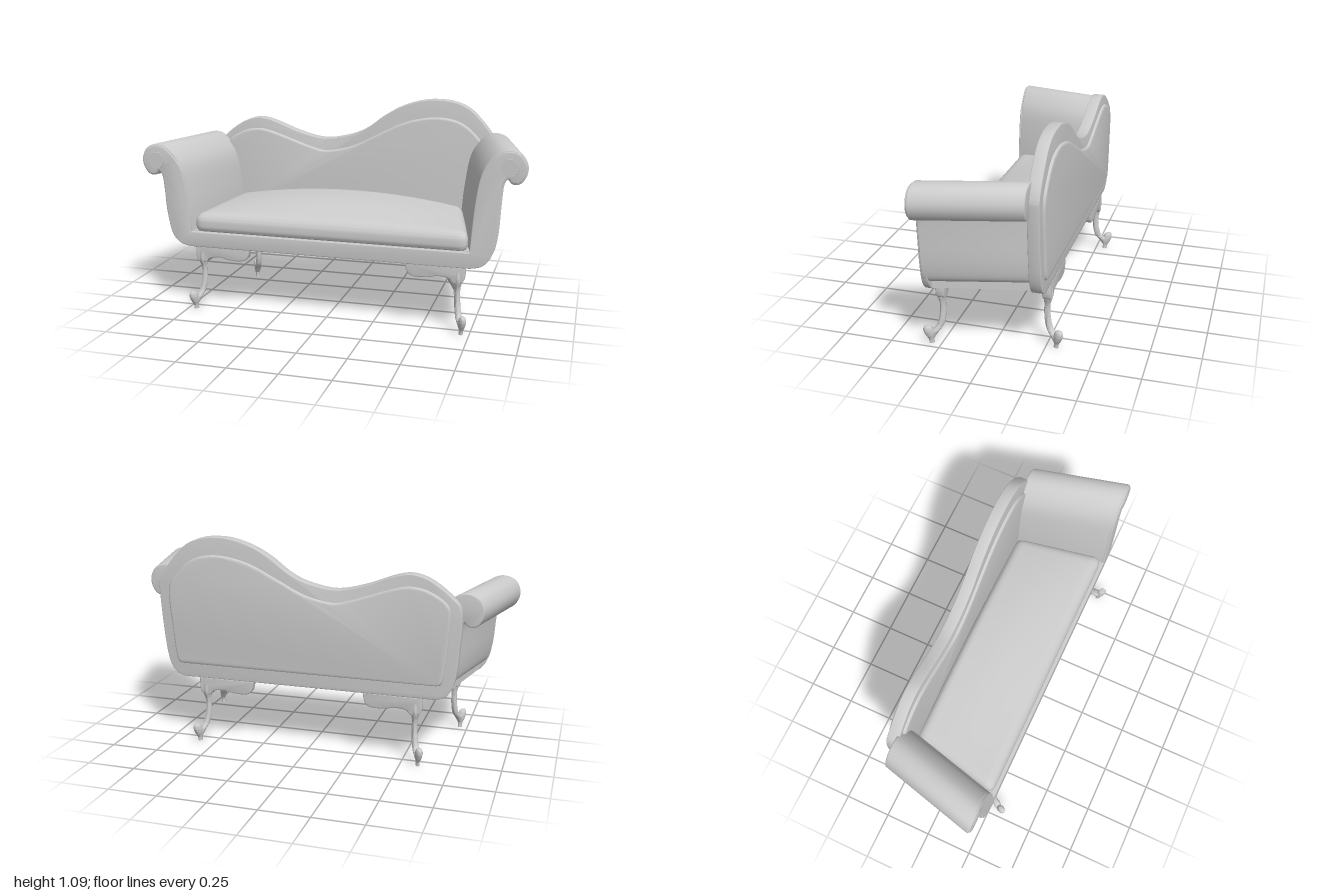
import * as THREE from 'three';
import { toCreasedNormals } from 'three/addons/utils/BufferGeometryUtils.js';

const material = new THREE.MeshStandardMaterial({ color: 0xcccccc, side: THREE.DoubleSide });

function addMesh(parent, name, geometry, crease = 0.65) {
  const mesh = new THREE.Mesh(toCreasedNormals(geometry, crease), material);
  mesh.name = name;
  parent.add(mesh);
  return mesh;
}

// Smooth open curve through [x, y] points
const smooth = (points, n) =>
  new THREE.SplineCurve(points.map(([x, y]) => new THREE.Vector2(x, y))).getPoints(n);

// Slab between two z planes, with bevels that stay inside the outline
function slab(points, z0, z1, bevel = 0) {
  const geometry = new THREE.ExtrudeGeometry(new THREE.Shape(points), {
    depth: z1 - z0 - 2 * bevel, bevelEnabled: bevel > 0, bevelThickness: bevel,
    bevelSize: bevel, bevelOffset: -bevel, bevelSegments: 3,
  });
  return geometry.translate(0, 0, z0 + bevel);
}

function moveVertices(geometry, rule) {
  const p = geometry.attributes.position;
  const v = new THREE.Vector3();
  for (let i = 0; i < p.count; i++) {
    v.fromBufferAttribute(p, i);
    rule(v);
    p.setXYZ(i, v.x, v.y, v.z);
  }
  return geometry;
}

// The seat narrows towards the back
const FRONT = 0.275;
const taper = (z) => 1 - 0.27 * (FRONT - z);

// Scrolled arm outline on the +x side; rise lifts the scroll, inset shrinks it
function armCurve(rise, start, end, inset = 0) {
  const k = 1 - inset / 0.085;
  const scroll = [[0.905, 0.732], [0.922, 0.715], [0.945, 0.708], [0.975, 0.722], [0.998, 0.765],
    [0.998, 0.81], [0.972, 0.855], [0.92, 0.875], [0.865, 0.863], [0.81, 0.81]]
    .map(([x, y]) => [0.915 + (x - 0.915) * k, 0.79 + rise + (y - 0.79) * k]);
  return smooth([...start, [0.873 - inset, 0.52], [0.882 - inset, 0.63 + rise * 0.6],
    [0.89 - inset, 0.7 + rise], ...scroll, [0.775, 0.74 + rise * 0.8],
    [0.752, 0.61 + rise * 0.4], [0.741, 0.5], end], 72);
}

const mirror = (points) => points.map((p) => new THREE.Vector2(-p.x, p.y));

function addArms(sofa) {
  for (const [side, rise, name] of [[1, 0.055, 'leftArm'], [-1, 0, 'rightArm']]) {
    const arm = new THREE.Group();
    arm.name = name;
    sofa.add(arm);
    let outline = armCurve(rise, [[0.83, 0.403], [0.855, 0.43]], [0.737, 0.403]);
    if (side < 0) outline = mirror(outline);
    const body = moveVertices(slab(outline, -0.225, FRONT, 0.006), (v) => {
      v.x -= side * 0.25 * (FRONT - v.z);
    });
    addMesh(arm, 'armRoll', body);
    // Round boss at the heart of the scroll
    const boss = new THREE.CylinderGeometry(0.042, 0.045, 0.02, 28);
    boss.rotateX(Math.PI / 2).translate(side * 0.915, 0.79 + rise, 0.276);
    addMesh(arm, 'scrollBoss', boss);
  }
}

// Front rail sweeping up into both arm fronts
function addFrontFrame(sofa) {
  const start = [[0.74, 0.335], [0.80, 0.352], [0.845, 0.41]];
  const end = [0.735, 0.415];
  const left = armCurve(0.055, start, end, 0.008);
  const right = mirror(armCurve(0, start, end, 0.008)).reverse();
  addMesh(sofa, 'frontFrame', slab([...left, ...right], 0.25, 0.283, 0.004));
}

function addBack(sofa) {
  const back = new THREE.Group();
  back.name = 'backrest';
  sofa.add(back);
  const outline = smooth([[0.68, 0.342], [0.735, 0.37], [0.77, 0.45], [0.79, 0.6], [0.805, 0.8],
    [0.80, 0.86], [0.76, 0.93], [0.66, 1.04], [0.57, 1.083], [0.47, 1.093], [0.38, 1.083],
    [0.28, 1.05], [0.19, 1.0], [0.1, 0.933], [0, 0.887], [-0.15, 0.862], [-0.3, 0.895],
    [-0.44, 0.947], [-0.53, 0.963], [-0.62, 0.937], [-0.72, 0.865], [-0.775, 0.79],
    [-0.77, 0.6], [-0.755, 0.45], [-0.72, 0.37], [-0.665, 0.342]], 120);
  addMesh(back, 'backFrame', slab(outline, -0.272, -0.213, 0.004));

  // Padded panel standing proud of the frame on both faces
  const panel = smooth([[0.68, 0.415], [0.715, 0.44], [0.735, 0.6], [0.75, 0.81], [0.7, 0.9],
    [0.62, 0.97], [0.53, 0.998], [0.43, 0.998], [0.3, 0.967], [0.16, 0.9], [0.03, 0.835],
    [-0.08, 0.804], [-0.18, 0.802], [-0.38, 0.868], [-0.47, 0.896], [-0.54, 0.903],
    [-0.62, 0.885], [-0.7, 0.835], [-0.725, 0.77], [-0.715, 0.6], [-0.695, 0.44],
    [-0.665, 0.415]], 110);
  addMesh(back, 'backPadding', slab(panel, -0.285, -0.199, 0.012));
}

function addSeat(sofa) {
  // Cushion: rounded block with a crown that rises towards the back
  const w = 0.73, h = 0.055, d = 0.24, r = 0.045;
  const cushion = moveVertices(new THREE.BoxGeometry(2 * w, 2 * h, 2 * d, 60, 12, 24), (v) => {
    const core = new THREE.Vector3(
      THREE.MathUtils.clamp(v.x, r - w, w - r),
      THREE.MathUtils.clamp(v.y, r - h, h - r),
      THREE.MathUtils.clamp(v.z, r - d, d - r));
    const out = v.clone().sub(core);
    if (out.lengthSq() > 0) v.copy(core).addScaledVector(out.normalize(), r);
    const u = v.x / w, t = (d - v.z) / (2 * d);
    const crown = Math.sin(Math.min(1, t * 1.4) * Math.PI / 2);
    if (v.y > 0) v.y += (v.y / h) * (0.02 * t + 0.062 * (1 - u * u) * crown);
    v.y += 0.455;
    v.z += 0.028;
    v.x *= taper(v.z);
  });
  addMesh(sofa, 'seatCushion', cushion, 1);

  // Base with a gently sagging underside
  const base = moveVertices(new THREE.BoxGeometry(1.62, 0.06, 0.475, 24, 1, 12), (v) => {
    const u = v.x / 0.81, t = v.z / 0.2375;
    if (v.y < 0) v.y -= 0.022 * (1 - u * u) * (1 - t * t);
    v.y += 0.388;
    v.z += 0.0185;
    v.x *= taper(v.z);
  });
  addMesh(sofa, 'seatBase', base);
}

// Vertical loft through [outward offset, height, radius] rings
function loft(rings, flat) {
  const curve = new THREE.CatmullRomCurve3(rings.map((q) => new THREE.Vector3(...q)));
  return moveVertices(new THREE.CylinderGeometry(1, 1, 1, 16, 28), (v) => {
    const q = curve.getPoint(0.5 - v.y);
    v.set(v.x * q.z * flat, q.y, v.z * q.z + q.x);
  });
}

function addLegs(sofa) {
  for (const front of [1, -1]) for (const side of [1, -1]) {
    const x = front > 0 ? 0.68 : 0.56;
    const leg = new THREE.Group();
    leg.name = `${front > 0 ? 'front' : 'back'}${side > 0 ? 'Left' : 'Right'}Leg`;
    sofa.add(leg);

    // Shaped bracket running inwards under the rail
    const edge = smooth([[-0.035, 0.345], [-0.035, 0.285], [-0.022, 0.255], [0.02, 0.25],
      [0.045, 0.273], [0.1, 0.28], [0.15, 0.27], [0.22, 0.269], [0.255, 0.29], [0.268, 0.345]], 40)
      .map((p) => new THREE.Vector2(side * (x - p.x), p.y));
    const z = front * 0.25;
    addMesh(leg, 'legBracket', slab(edge, z - 0.022, z + 0.022, 0.007));

    // Curved leg and scroll foot, turned diagonally outwards
    const limb = new THREE.Group();
    limb.name = 'limb';
    limb.position.set(side * x, 0, z);
    limb.rotation.y = Math.atan2(side * 0.5, front * 0.87);
    leg.add(limb);
    addMesh(limb, 'cabrioleLeg', loft([[0, 0.31, 0.024], [0.002, 0.26, 0.024], [-0.003, 0.22, 0.016],
      [-0.004, 0.18, 0.016], [0.002, 0.13, 0.017], [0.016, 0.09, 0.018], [0.04, 0.065, 0.021],
      [0.055, 0.03, 0.012]], 0.9), 1);
    addMesh(limb, 'scrollFoot', loft([[0.078, 0.1, 0.004], [0.077, 0.094, 0.018], [0.074, 0.075, 0.026],
      [0.066, 0.045, 0.023], [0.06, 0.02, 0.014], [0.058, 0, 0.014]], 0.7), 1);
  }
}

export function createModel() {
  const sofa = new THREE.Group();
  sofa.name = 'sofa';
  addBack(sofa);
  addArms(sofa);
  addFrontFrame(sofa);
  addSeat(sofa);
  addLegs(sofa);
  return sofa;
}
